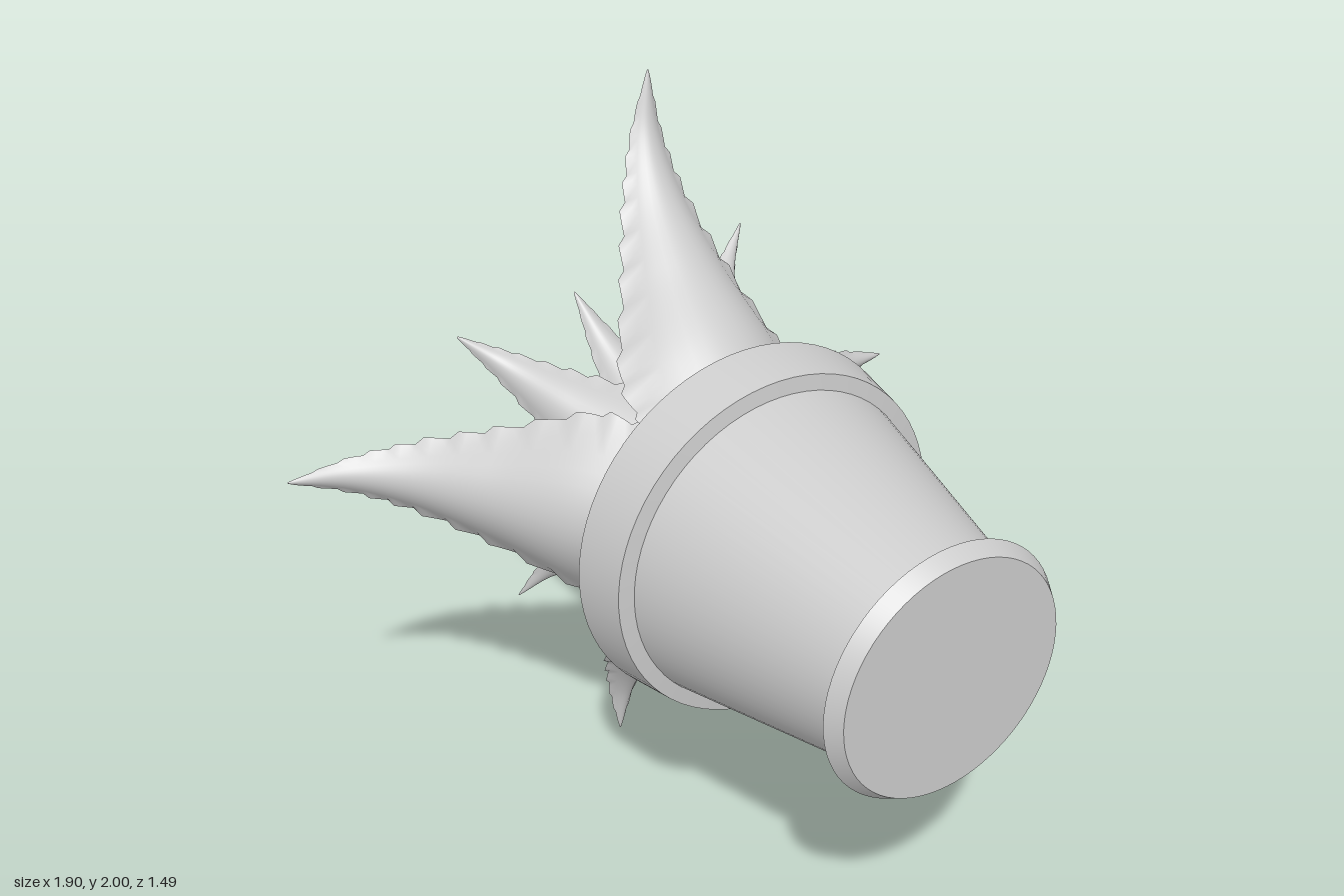
import * as THREE from 'three';
import { toCreasedNormals } from 'three/addons/utils/BufferGeometryUtils.js';

const material = new THREE.MeshStandardMaterial({ color: 0xcccccc, side: THREE.DoubleSide });

// Turned part with crisp edges, from [radius, height] pairs
function lathe(name, profile) {
  const points = profile.map(([r, h]) => new THREE.Vector2(r, h));
  const geometry = toCreasedNormals(new THREE.LatheGeometry(points, 72), 0.5);
  const mesh = new THREE.Mesh(geometry, material);
  mesh.name = name;
  return mesh;
}

// Cupped, saw-edged leaf. Profile rows are [radius, height, half width]
function leaf(name, profile, angle, { tipR, tipH, cup = 0.6, thick = 0.04, tooth = 0.016, teeth = 15 }) {
  const last = profile[profile.length - 1];
  const curve = new THREE.CatmullRomCurve3(
    profile.map(([r, h, w]) => new THREE.Vector3(r * tipR / last[0], h * tipH / last[1], w)));
  const perTooth = 4, rows = teeth * perTooth, cols = 14;
  const out = new THREE.Vector3(Math.cos(angle), 0, Math.sin(angle));
  const side = new THREE.Vector3(-Math.sin(angle), 0, Math.cos(angle));
  const positions = [], index = [];

  for (const outer of [true, false]) {
    const start = positions.length / 3;
    for (let i = 0; i <= rows; i++) {
      const t = i / rows;
      const p = curve.getPoint(t);
      const d = curve.getPoint(Math.min(1, t + 0.01)).sub(curve.getPoint(Math.max(0, t - 0.01)));
      const len = Math.hypot(d.x, d.y);
      const w = Math.max(0, p.z);
      const spike = tooth * Math.min(1, w / 0.1) * (i % perTooth) / (perTooth - 1);
      for (let j = 0; j <= cols; j++) {
        const u = j / cols * 2 - 1;
        const across = w * u + (Math.abs(u) === 1 ? spike * u : 0);
        const body = thick * Math.min(1, w / 0.12) * (1 - u * u);
        const lift = cup * w * u * u + (outer ? 0 : body);
        const v = out.clone().multiplyScalar(p.x - d.y / len * lift).addScaledVector(side, across);
        positions.push(v.x, p.y + d.x / len * lift, v.z);
      }
    }
    for (let i = 0; i < rows; i++) for (let j = 0; j < cols; j++) {
      const a = start + i * (cols + 1) + j, b = a + 1, c = a + cols + 1, e = c + 1;
      if (outer) index.push(a, c, b, b, c, e);
      else index.push(a, b, c, b, e, c);
    }
  }
  const geometry = new THREE.BufferGeometry();
  geometry.setAttribute('position', new THREE.Float32BufferAttribute(positions, 3));
  geometry.setIndex(index);
  geometry.computeVertexNormals();
  const mesh = new THREE.Mesh(geometry, material);
  mesh.name = name;
  return mesh;
}

export function createModel() {
  const model = new THREE.Group();
  model.name = 'pottedSucculent';

  // Pot, saucer and soil, turned about the pot's axis
  model.add(
    lathe('saucer', [[0, -0.745], [0.305, -0.745], [0.33, -0.705], [0.28, -0.7], [0, -0.7]]),
    lathe('pot', [[0, -0.7], [0.275, -0.7], [0.42, -0.085], [0.46, -0.08], [0.485, 0.06], [0.435, 0.06], [0.42, 0]]),
    lathe('soil', [[0.425, 0.02], [0, 0.02]])
  );

  // Leaf outlines by ring
  const outerProfile = [[0.13, -0.08, 0.17], [0.3, 0.05, 0.22], [0.43, 0.2, 0.245], [0.57, 0.4, 0.16],
    [0.7, 0.55, 0.09], [0.82, 0.63, 0.045], [0.97, 0.67, 0.002]];
  const middleProfile = [[0.08, -0.04, 0.1], [0.19, 0.12, 0.15], [0.29, 0.3, 0.15], [0.4, 0.48, 0.09],
    [0.51, 0.64, 0.037], [0.63, 0.72, 0.002]];
  const innerProfile = [[0.06, 0, 0.08], [0.13, 0.2, 0.125], [0.21, 0.4, 0.1], [0.31, 0.58, 0.045], [0.42, 0.7, 0.002]];
  const budProfile = [[0.04, 0, 0.07], [0.08, 0.25, 0.11], [0.1, 0.43, 0.095], [0.12, 0.58, 0.05], [0.15, 0.68, 0.003]];

  // Tip of each leaf relative to the axis: [x, y, height]
  const outerTips = [[0.13, 0.975, 0.67], [0.965, -0.085, 0.74], [-0.05, -1.025, 0.67], [-0.935, 0.125, 0.7]];
  const middleTips = [[0.44, 0.475, 0.72], [0.485, -0.385, 0.74], [-0.335, -0.445, 0.7], [-0.425, 0.365, 0.74]];
  const innerTips = [[-0.1, 0.42, 0.7], [0.43, 0.14, 0.7], [0.1, -0.4, 0.68], [-0.39, -0.12, 0.69]];
  const budTips = [[0.1, 0.19, 0.67], [0.11, -0.09, 0.69], [-0.1, 0.02, 0.67]];

  const rings = [
    ['outerLeaf', outerProfile, outerTips, {}],
    ['middleLeaf', middleProfile, middleTips, { thick: 0.03, tooth: 0.013 }],
    ['innerLeaf', innerProfile, innerTips, { thick: 0.025, tooth: 0.011, teeth: 13 }],
    ['budLeaf', budProfile, budTips, { thick: 0.02, tooth: 0.008, teeth: 13 }]
  ];
  for (const [name, profile, tips, options] of rings) {
    tips.forEach(([x, y, tipH], i) => model.add(
      leaf(name + (i + 1), profile, Math.atan2(y, x), { ...options, tipR: Math.hypot(x, y), tipH })));
  }

  // Lay the plant down so the pot's base faces the front
  model.rotation.x = -Math.PI / 2;
  model.position.set(-0.016, 1.025, 0);
  const root = new THREE.Group();
  root.name = 'succulentInPot';
  root.add(model);
  return root;
}
